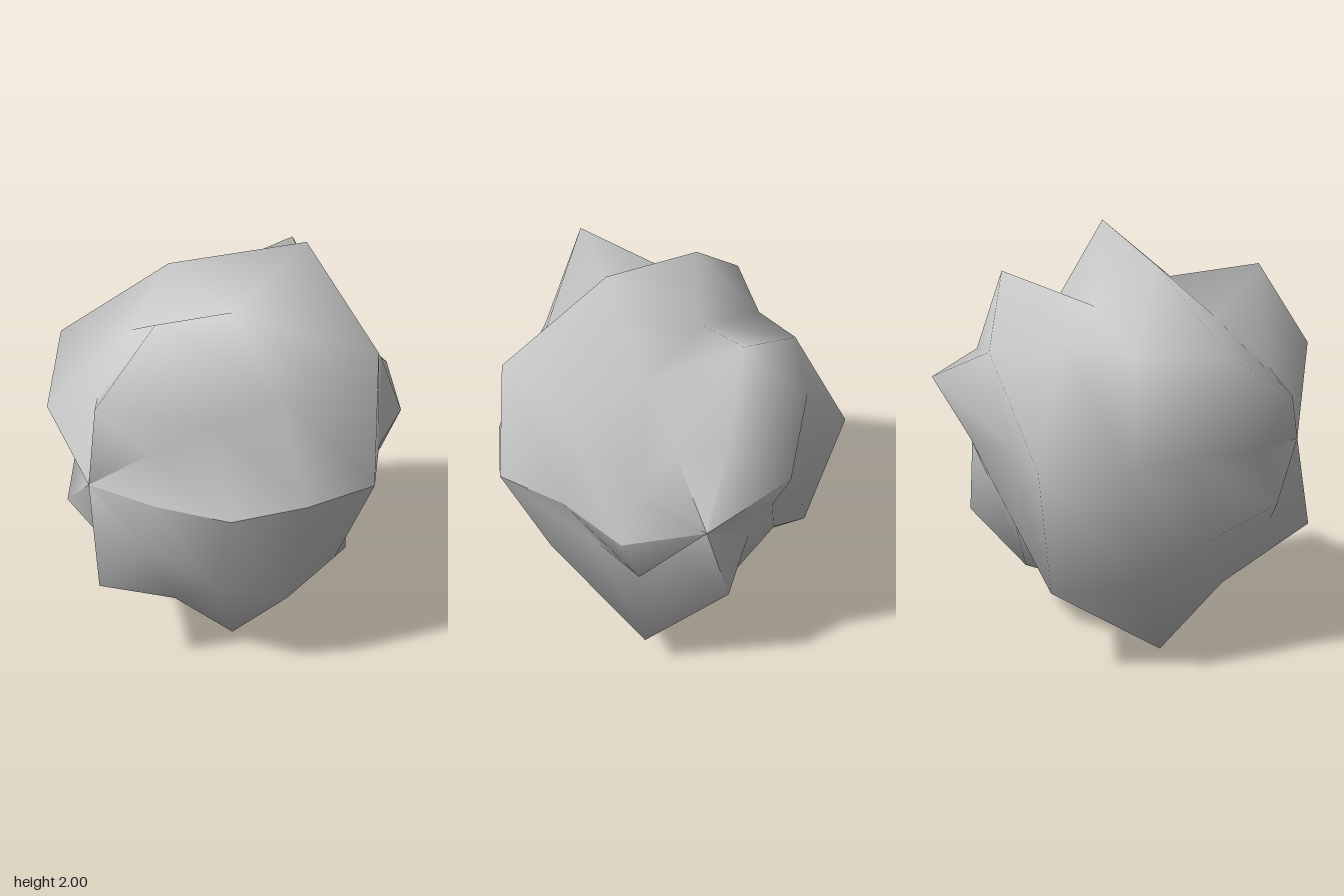
import * as THREE from 'three';

// Distance of each surface point from the core: one row per ring from front to back,
// ten points counter-clockwise from +x.
const RINGS = [
  [0.76, 0.72, 0.925, 0.75, 0.90, 0.74, 0.835, 0.78, 0.96, 0.79],
  [0.81, 0.71, 0.93, 0.69, 0.90, 0.63, 0.74, 0.79, 0.78, 0.79],
  [0.77, 0.67, 0.68, 0.77, 0.69, 0.77, 0.84, 0.94, 0.90, 0.82],
  [0.825, 0.95, 0.925, 0.58, 0.77, 0.91, 0.91, 0.68, 0.61, 0.75],
  [0.72, 0.79, 0.68, 0.91, 0.85, 0.69, 0.72, 0.78, 0.96, 0.63],
  [0.87, 0.83, 0.66, 0.82, 0.98, 0.78, 0.72, 0.88, 0.61, 0.83],
];
const POLE = 0.81;
const SIDES = 10;
const STACKS = RINGS.length + 1;
const STRETCH_Y = 1.155;

// Lumpy sphere whose poles lie on the z axis; seam and pole points stay unshared
function rockGeometry() {
  const positions = [];
  const index = [];
  for (let i = 0; i <= STACKS; i++) {
    const theta = (i / STACKS) * Math.PI;
    for (let j = 0; j <= SIDES; j++) {
      const phi = (j / SIDES) * Math.PI * 2;
      const r = i === 0 || i === STACKS ? POLE : RINGS[i - 1][j % SIDES];
      const ring = r * Math.sin(theta);
      positions.push(
        0.04 + ring * Math.cos(phi),
        1.01 + ring * Math.sin(phi) * STRETCH_Y,
        0.01 + r * Math.cos(theta)
      );
    }
  }
  // Two triangles per cell, one where a cell touches a pole
  for (let i = 0; i < STACKS; i++) {
    for (let j = 0; j < SIDES; j++) {
      const a = i * (SIDES + 1) + j;
      const b = a + 1;
      const c = a + SIDES + 1;
      const d = c + 1;
      if (i > 0) index.push(a, c, b);
      if (i < STACKS - 1) index.push(b, c, d);
    }
  }
  const geometry = new THREE.BufferGeometry();
  geometry.setAttribute('position', new THREE.Float32BufferAttribute(positions, 3));
  geometry.setIndex(index);
  geometry.computeVertexNormals();
  return geometry;
}

export function createModel() {
  const stone = new THREE.MeshStandardMaterial({ color: 0xc8c8c8 });
  stone.name = 'pale grey stone';
  const rock = new THREE.Mesh(rockGeometry(), stone);
  rock.name = 'rock';
  const model = new THREE.Group();
  model.name = 'boulder';
  model.add(rock);
  return model;
}
